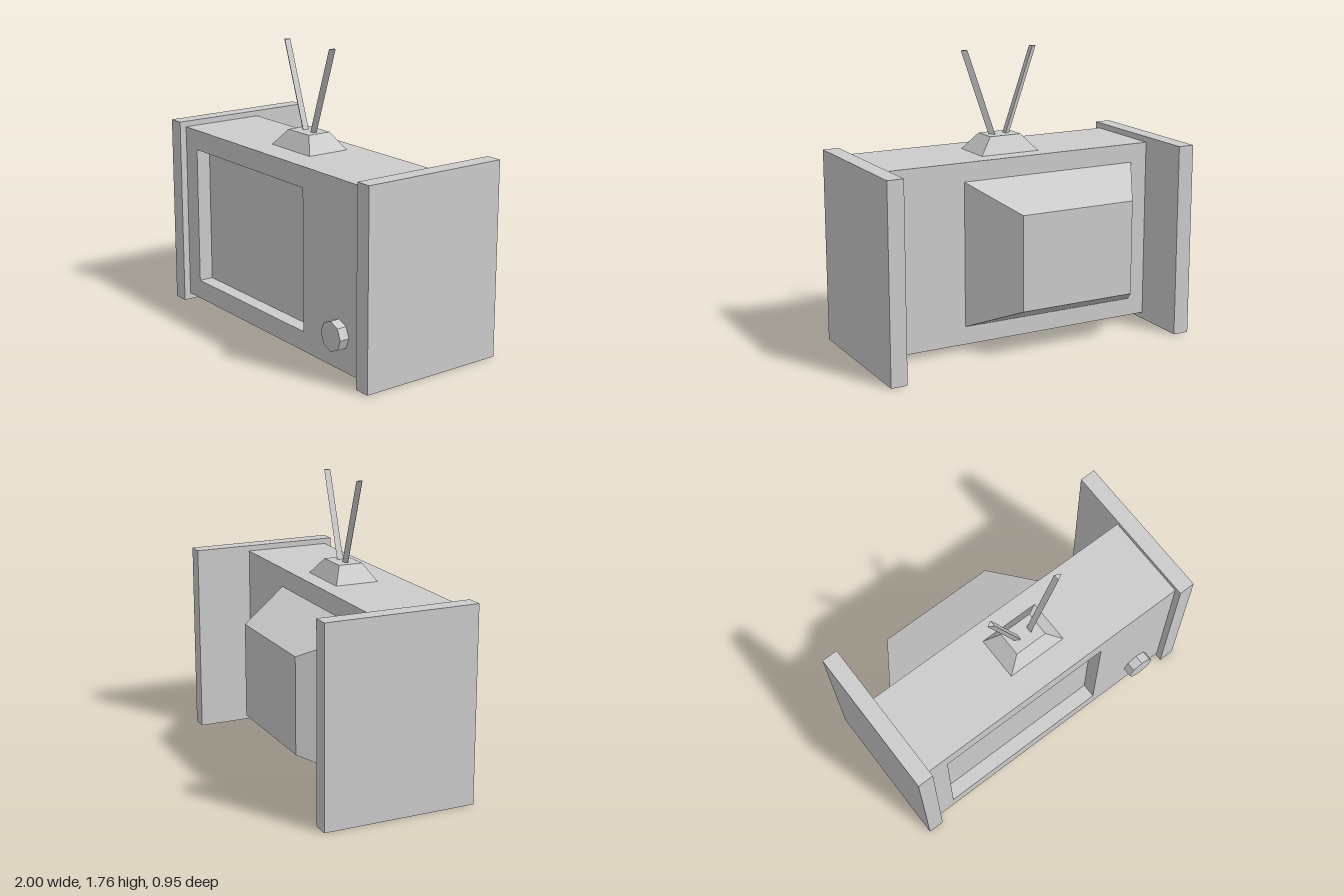
import * as THREE from 'three';

const material = new THREE.MeshStandardMaterial({ color: 0xcccccc, flatShading: true });

function part(name, geometry, x = 0, y = 0, z = 0) {
  const mesh = new THREE.Mesh(geometry, material);
  mesh.name = name;
  mesh.position.set(x, y, z);
  return mesh;
}

// Joins rectangular rings [x0, x1, y0, y1, z] one after another, with optional end caps.
function loftRects(rings, capStart, capEnd) {
  const loops = rings.map(([x0, x1, y0, y1, z]) => [[x0, y0, z], [x1, y0, z], [x1, y1, z], [x0, y1, z]]);
  const pos = [];
  const quad = (a, b, c, d) => pos.push(...a, ...b, ...c, ...a, ...c, ...d);
  for (let r = 0; r < loops.length - 1; r++) {
    const a = loops[r], b = loops[r + 1];
    for (let i = 0; i < 4; i++) {
      const j = (i + 1) % 4;
      quad(a[i], a[j], b[j], b[i]);
    }
  }
  if (capStart) quad(...[...loops[0]].reverse());
  if (capEnd) quad(...loops[loops.length - 1]);
  const geometry = new THREE.BufferGeometry();
  geometry.setAttribute('position', new THREE.Float32BufferAttribute(pos, 3));
  geometry.computeVertexNormals();
  return geometry;
}

export function createModel() {
  const model = new THREE.Group();
  model.name = 'television';

  // Cabinet with the recessed screen
  model.add(part('cabinet', loftRects([
    [-0.9, 0.9, 0.04, 1.145, -0.125],
    [-0.9, 0.9, 0.04, 1.145, 0.415],
    [-0.775, 0.35, 0.16, 1.02, 0.415],
    [-0.775, 0.35, 0.16, 1.02, 0.325],
  ], true, true)));

  // Tapered tube housing on the back
  model.add(part('tubeHousing', loftRects([
    [-0.585, 0.155, 0.305, 0.88, -0.46],
    [-0.79, 0.36, 0.15, 1.03, -0.125],
  ], true, false)));

  // Side panels, which also serve as feet
  for (const [name, s] of [['leftPanel', 1], ['rightPanel', -1]]) {
    model.add(part(name, new THREE.BoxGeometry(0.1, 1.18, 0.935), s * 0.95, 0.59, -0.01));
  }

  // Octagonal dial
  const dial = new THREE.CylinderGeometry(0.09, 0.09, 0.06, 8).rotateX(Math.PI / 2);
  model.add(part('dial', dial, 0.69, 0.25, 0.445));

  // Antenna stand
  const stand = loftRects([
    [-0.19, 0.19, -0.135, 0.135, 0],
    [-0.103, 0.103, -0.075, 0.075, 0.1],
  ], false, true).rotateX(-Math.PI / 2);
  model.add(part('antennaStand', stand, 0, 1.145, 0.115));

  // Three-sided rods, sheared outward so that their ends stay level
  for (const [name, s, x] of [['leftAntenna', 1, 0.142], ['rightAntenna', -1, -0.132]]) {
    const rod = new THREE.CylinderGeometry(0.023, 0.023, 0.52, 3).rotateY(s * Math.PI / 2);
    rod.applyMatrix4(new THREE.Matrix4().set(1, s * 0.353, 0, 0, 0, 1, 0, 0, 0, 0, 1, 0, 0, 0, 0, 1));
    model.add(part(name, rod, x, 1.5, 0.115));
  }

  return model;
}
